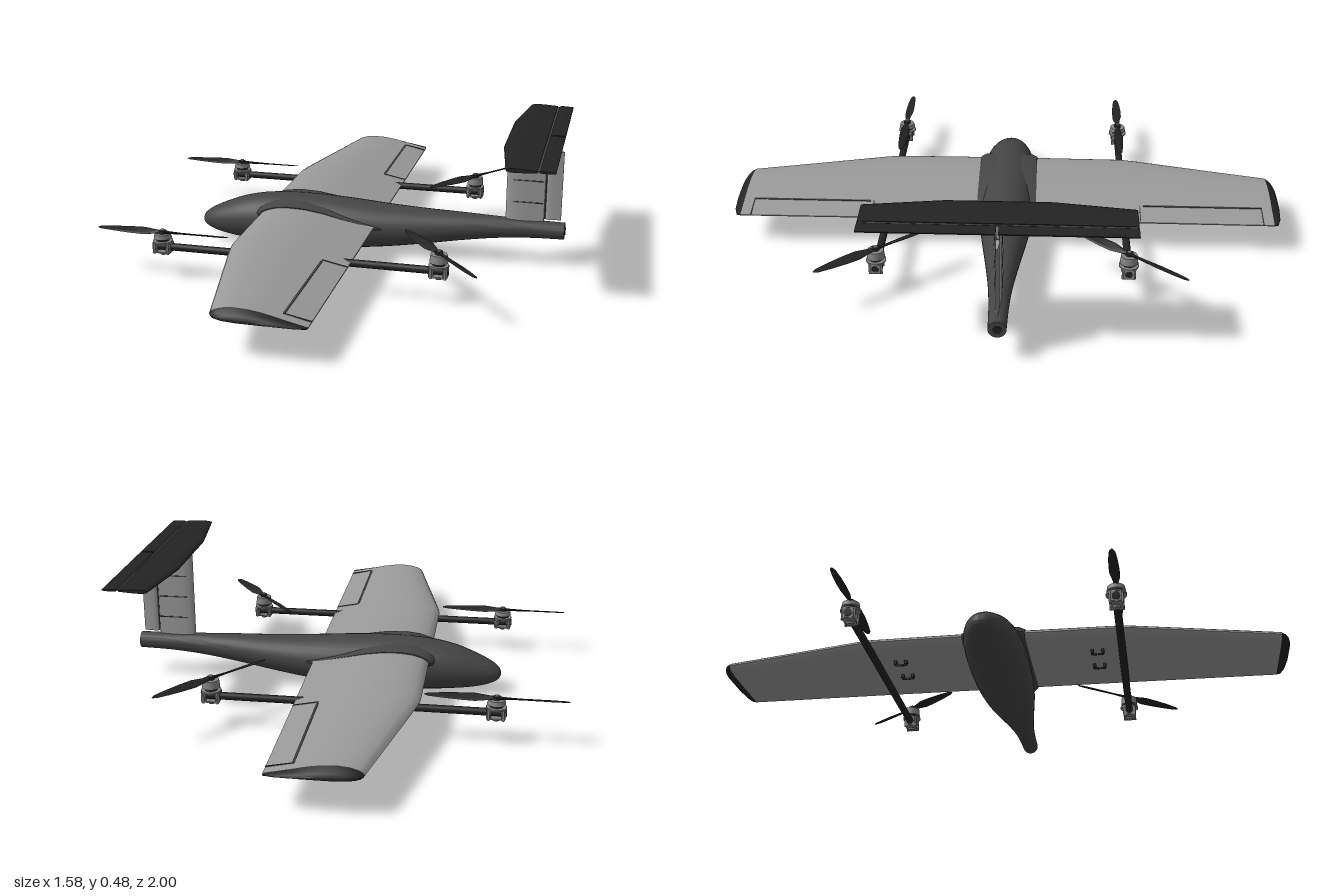
import * as THREE from 'three';
import { toCreasedNormals } from 'three/addons/utils/BufferGeometryUtils.js';

const mat = (name, color) => {
  const m = new THREE.MeshStandardMaterial({ color });
  m.name = name;
  return m;
};

// Skin equal-length rings of [x, y, z] points, cap both ends, face outward
function loft(rings, crease = 0.7) {
  const n = rings[0].length, pos = rings.flat(2), idx = [];
  for (let i = 0; i < rings.length - 1; i++) {
    for (let j = 0; j < n; j++) {
      const k = (j + 1) % n, a = i * n + j, b = i * n + k;
      idx.push(a, b, a + n, b, b + n, a + n);
    }
  }
  [0, rings.length - 1].forEach((r, end) => {
    const c = pos.length / 3;
    for (let d = 0; d < 3; d++) pos.push(rings[r].reduce((s, p) => s + p[d], 0) / n);
    for (let j = 0; j < n; j++) {
      const a = r * n + j, b = r * n + (j + 1) % n;
      idx.push(...(end ? [a, b, c] : [b, a, c]));
    }
  });
  const P = i => new THREE.Vector3().fromArray(pos, i * 3);
  let volume = 0;
  for (let i = 0; i < idx.length; i += 3) volume += P(idx[i]).dot(P(idx[i + 1]).cross(P(idx[i + 2])));
  if (volume < 0) idx.reverse();
  const g = new THREE.BufferGeometry();
  g.setAttribute('position', new THREE.Float32BufferAttribute(pos, 3));
  g.setIndex(idx);
  return toCreasedNormals(g, crease);
}

// Profiles as [chord fraction, thickness fraction]
const WING = [[0, 0.4], [0.015, 0.58], [0.06, 0.76], [0.14, 0.92], [0.25, 1], [0.4, 0.96], [0.55, 0.8], [0.75, 0.47], [1, 0.08],
  [1, 0], [0.7, 0], [0.4, 0], [0.18, 0.03], [0.06, 0.12], [0.015, 0.24]];
const half = [[0.02, 0.22], [0.1, 0.42], [0.3, 0.5], [0.6, 0.42], [1, 0.22]];
const FIN = [[0, 0], ...half, ...half.map(([u, v]) => [u, -v]).reverse()];

const wingRing = (z, x0, x1, y, t) => WING.map(([u, v]) => [x0 + u * (x1 - x0), y + v * t, z]);
const stabRing = (z, x0, x1, y, t) => FIN.map(([u, v]) => [x0 + u * (x1 - x0), y + v * t, z]);
const finRing = (y, x0, x1, t) => FIN.map(([u, v]) => [x0 + u * (x1 - x0), y, v * t]);

// One propeller blade reaching along +x
function bladeGeometry() {
  const stations = [[0.008, 0.014, 0.012, 0.5], [0.03, 0.02, 0.009, 0.5], [0.07, 0.036, 0.006, 0.42], [0.12, 0.036, 0.005, 0.32],
    [0.18, 0.029, 0.004, 0.24], [0.225, 0.019, 0.003, 0.18], [0.238, 0.006, 0.002, 0.15]];
  return loft(stations.map(([r, chord, t, pitch]) => Array.from({ length: 12 }, (_, i) => {
    const a = i / 12 * Math.PI * 2, w = Math.cos(a) * chord / 2, h = Math.sin(a) * t / 2;
    return [r, h * Math.cos(pitch) + w * Math.sin(pitch), w * Math.cos(pitch) - h * Math.sin(pitch)];
  })), 1);
}

export function createModel() {
  const model = new THREE.Group();
  model.name = 'tiltlessVtolAircraft';
  const light = mat('light grey skin', 0x9a9a9a);
  const body = mat('dark grey body', 0x454545);
  const black = mat('carbon black', 0x232323);
  const metal = mat('motor grey', 0x858585);

  const add = (name, geo, material, x = 0, y = 0, z = 0, parent = model) => {
    const m = new THREE.Mesh(geo, material);
    m.name = name;
    m.position.set(x, y, z);
    parent.add(m);
    return m;
  };
  const box = (w, h, d) => new THREE.BoxGeometry(w, h, d);
  const cyl = (r, h, r2 = r) => new THREE.CylinderGeometry(r, r2, h, 24);

  // Fuselage: x, bottom, top, half width
  const hull = [[-0.562, 0.068, 0.076, 0.006], [-0.555, 0.053, 0.092, 0.025], [-0.535, 0.04, 0.109, 0.043], [-0.5, 0.028, 0.128, 0.06],
    [-0.45, 0.018, 0.15, 0.075], [-0.4, 0.012, 0.168, 0.086], [-0.32, 0.005, 0.186, 0.096], [-0.2, 0, 0.195, 0.103], [-0.08, 0.002, 0.193, 0.103],
    [0.04, 0.01, 0.186, 0.099], [0.15, 0.023, 0.178, 0.09], [0.28, 0.043, 0.172, 0.074], [0.42, 0.068, 0.169, 0.056],
    [0.55, 0.087, 0.165, 0.041], [0.67, 0.097, 0.162, 0.033], [0.785, 0.1, 0.16, 0.03]];
  const path = new THREE.CatmullRomCurve3(hull.map(([x, b, t]) => new THREE.Vector3(x, b, t)));
  const widths = new THREE.CatmullRomCurve3(hull.map(([x, , , w]) => new THREE.Vector3(x, w, 0)));
  add('fuselage', loft(Array.from({ length: 46 }, (_, i) => {
    const p = path.getPoint(i / 45), w = widths.getPoint(i / 45).y;
    return Array.from({ length: 32 }, (_, j) => {
      const a = j / 32 * Math.PI * 2;
      return [p.x, (p.y + p.z) / 2 + Math.sin(a) * (p.z - p.y) / 2, Math.cos(a) * w];
    });
  })), body);
  add('tailPlug', cyl(0.014, 0.004), black, 0.786, 0.13, 0).rotation.z = Math.PI / 2;

  // Saddle where the wing passes through the body
  add('wingSaddle', loft([
    wingRing(-0.108, -0.31, 0.118, 0.113, 0.062), wingRing(-0.09, -0.325, 0.14, 0.108, 0.073), wingRing(0, -0.34, 0.16, 0.105, 0.085),
    wingRing(0.09, -0.325, 0.14, 0.108, 0.073), wingRing(0.108, -0.31, 0.118, 0.113, 0.062)]), body);

  const blade = bladeGeometry();
  for (const s of [1, -1]) {
    const side = s > 0 ? 'left' : 'right';

    // Wing panel, tip cap and control surface gaps
    add(side + 'Wing', loft([
      wingRing(s * 0.08, -0.305, 0.115, 0.115, 0.057), wingRing(s * 0.43, -0.305, 0.115, 0.115, 0.054),
      wingRing(s * 0.48, -0.297, 0.115, 0.115, 0.053), wingRing(s * 0.968, -0.19, 0.115, 0.114, 0.044)]), light);
    add(side + 'WingTip', loft([
      wingRing(s * 0.968, -0.19, 0.115, 0.114, 0.044), wingRing(s * 0.982, -0.182, 0.113, 0.116, 0.034),
      wingRing(s * 0.993, -0.16, 0.08, 0.119, 0.022), wingRing(s * 1, -0.125, 0.01, 0.122, 0.01)]), black);
    add(side + 'AileronGap', box(0.007, 0.004, 0.43), body, 0.03, 0.1365, s * 0.715).rotation.z = -0.15;
    for (const z of [0.488, 0.93]) {
      add(side + 'AileronEndGap', box(0.088, 0.004, 0.003), body, 0.072, 0.128, s * z).rotation.z = -0.2;
    }

    // Boom slung under the wing
    add(side + 'Boom', cyl(0.013, 1.03), black, -0.075, 0.112, s * 0.43).rotation.z = Math.PI / 2;

    // Small brackets below the wing
    for (const x of [-0.06, -0.18]) {
      for (const dz of [-0.018, 0.018]) {
        add(side + 'Bracket', box(0.016, 0.014, 0.01), black, x, 0.109, s * 0.345 + dz);
        add(side + 'BracketHook', box(0.006, 0.006, 0.018), black, x, 0.1, s * 0.345 + dz * 0.6);
      }
    }

    // Lift motors with two-blade propellers
    for (const [end, x, lift, turn] of [['Front', -0.555, 0, 0], ['Rear', 0.408, 0.012, -s * 0.9]]) {
      const unit = new THREE.Group();
      unit.name = side + end + 'Motor';
      unit.position.set(x, 0, s * 0.43);
      model.add(unit);
      for (const dx of [-0.024, 0.024]) {
        add('clamp', box(0.016, 0.034, 0.036), metal, dx, 0.112, 0, unit);
        for (const dz of [-0.02, 0.02]) add('clampBolt', cyl(0.004, 0.044), metal, dx, 0.112, dz, unit);
      }
      add('lowerPlate', box(0.06, 0.005, 0.04), metal, 0, 0.094, 0, unit);
      add('foot', cyl(0.014, 0.012, 0.01), metal, 0, 0.089, 0, unit);
      add('upperPlate', cyl(0.034, 0.006), metal, 0, 0.131, 0, unit);
      add('stator', cyl(0.022, 0.012), black, 0, 0.139, 0, unit);
      add('bell', cyl(0.028, 0.016 + lift, 0.031), metal, 0, 0.151 + lift / 2, 0, unit);
      const prop = new THREE.Group();
      prop.name = 'propeller';
      prop.position.y = 0.163 + lift;
      prop.rotation.y = turn;
      unit.add(prop);
      add('hub', cyl(0.013, 0.012), black, 0, 0, 0, prop);
      add('hubCap', cyl(0.007, 0.005), metal, 0, 0.008, 0, prop);
      add('blade', blade, black, 0, 0, 0, prop);
      add('blade', blade, black, 0, 0, 0, prop).rotation.y = Math.PI;
    }

    // Panel lines on the fin
    for (const y of [0.23, 0.31, 0.39]) add('finSeam', box(0.105, 0.004, 0.002), body, 0.652, y, s * 0.0122);
    // Elevator half
    add(side + 'Elevator', loft([
      stabRing(s * 0.004, 0.718, 0.77, 0.472, 0.009), stabRing(s * 0.43, 0.718, 0.77, 0.472, 0.008)]), black);
  }

  // T-tail
  add('fin', loft([finRing(0.14, 0.575, 0.71, 0.024), finRing(0.47, 0.575, 0.71, 0.024)]), light);
  add('rudder', loft([finRing(0.17, 0.715, 0.77, 0.013), finRing(0.42, 0.715, 0.77, 0.013)]), light);
  add('rudderHinge', cyl(0.003, 0.25), body, 0.713, 0.295, 0);
  add('stabilizer', loft([
    stabRing(-0.43, 0.612, 0.712, 0.472, 0.014), stabRing(-0.17, 0.577, 0.712, 0.472, 0.018),
    stabRing(0.17, 0.577, 0.712, 0.472, 0.018), stabRing(0.43, 0.612, 0.712, 0.472, 0.014)]), black);
  add('elevatorHinge', box(0.008, 0.003, 0.85), body, 0.715, 0.472, 0);
  return model;
}
